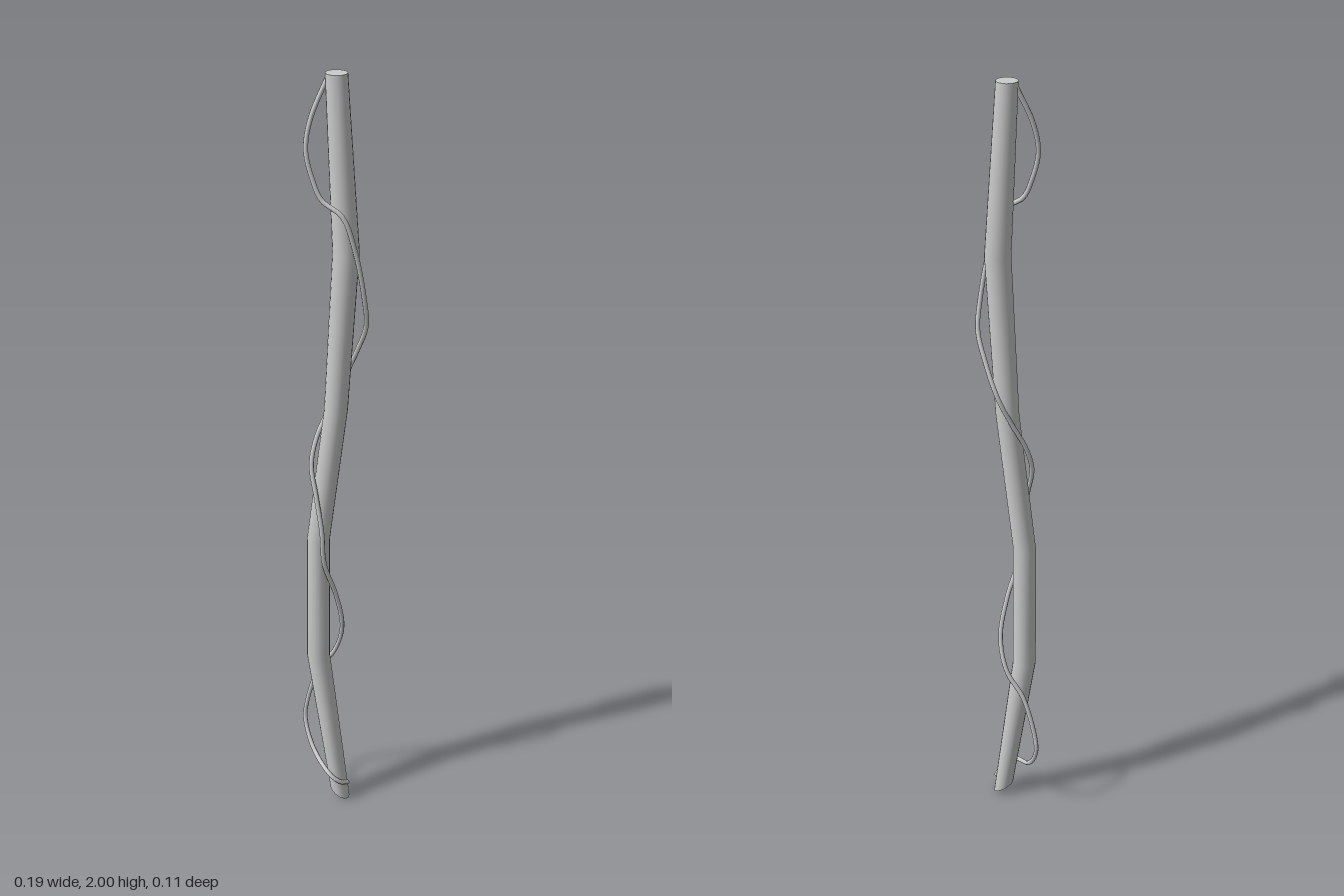
import * as THREE from 'three';

const material = new THREE.MeshStandardMaterial({ color: 0xcccccc });

// Crooked pole: rings of [centre x, height, radius], bottom to top
const RINGS = [
  [0.025, 0.018, 0.026],
  [-0.035, 0.45, 0.03],
  [-0.034, 0.8, 0.029],
  [0.012, 1.17, 0.029],
  [0.036, 1.58, 0.032],
  [0.012, 2.0, 0.026],
];

// Vine winding around the pole, from the foot to the tip
const VINE = [
  [0.046, 0.05, 0], [0.035, 0.068, 0.028], [0.01, 0.09, 0.036],
  [-0.055, 0.13, -0.015], [-0.088, 0.2, -0.046], [-0.083, 0.26, -0.048],
  [-0.05, 0.37, -0.048], [-0.005, 0.44, -0.048], [0.021, 0.53, -0.028],
  [0.013, 0.64, 0], [-0.008, 0.75, 0.034], [-0.011, 0.85, 0.045],
  [-0.028, 0.94, 0.036], [-0.046, 1.02, 0.018], [-0.038, 1.09, -0.005],
  [-0.012, 1.16, -0.03], [0.018, 1.235, -0.048], [0.055, 1.32, -0.036],
  [0.081, 1.39, -0.018], [0.083, 1.47, 0.006], [0.066, 1.6, 0.031],
  [0.04, 1.68, 0.043], [-0.01, 1.715, 0.043], [-0.031, 1.76, 0.043],
  [-0.048, 1.83, 0.041], [-0.04, 1.9, 0.028], [-0.008, 1.99, 0.002],
];

function makePole() {
  const geometry = new THREE.CylinderGeometry(1, 1, 1, 20, RINGS.length - 1);
  const p = geometry.attributes.position;
  for (let i = 0; i < p.count; i++) {
    const k = Math.round((p.getY(i) + 0.5) * (RINGS.length - 1));
    const [cx, y, r] = RINGS[k];
    const dx = p.getX(i) * r;
    // the foot is cut at a slant
    p.setXYZ(i, cx + dx, k === 0 ? y - dx * 0.65 : y, p.getZ(i) * r);
  }
  geometry.computeVertexNormals();
  // join the shading across the side seam
  const n = geometry.attributes.normal;
  for (let k = 0; k < RINGS.length; k++) {
    const a = k * 21, b = a + 20;
    const v = new THREE.Vector3().fromBufferAttribute(n, a)
      .add(new THREE.Vector3().fromBufferAttribute(n, b)).normalize();
    n.setXYZ(a, v.x, v.y, v.z);
    n.setXYZ(b, v.x, v.y, v.z);
  }
  const mesh = new THREE.Mesh(geometry, material);
  mesh.name = 'pole';
  return mesh;
}

function makeVine() {
  const group = new THREE.Group();
  group.name = 'vine';
  const radius = 0.006;
  const curve = new THREE.CatmullRomCurve3(VINE.map((v) => new THREE.Vector3(...v)));
  const stem = new THREE.Mesh(new THREE.TubeGeometry(curve, 160, radius, 8), material);
  stem.name = 'vineStem';
  group.add(stem);
  // rounded ends
  for (const t of [0, 1]) {
    const end = new THREE.Mesh(new THREE.SphereGeometry(radius, 8, 6), material);
    end.position.copy(curve.getPoint(t));
    end.name = t ? 'vineTip' : 'vineFoot';
    group.add(end);
  }
  return group;
}

export function createModel() {
  const model = new THREE.Group();
  model.name = 'vineWrappedPole';
  model.add(makePole(), makeVine());
  return model;
}
